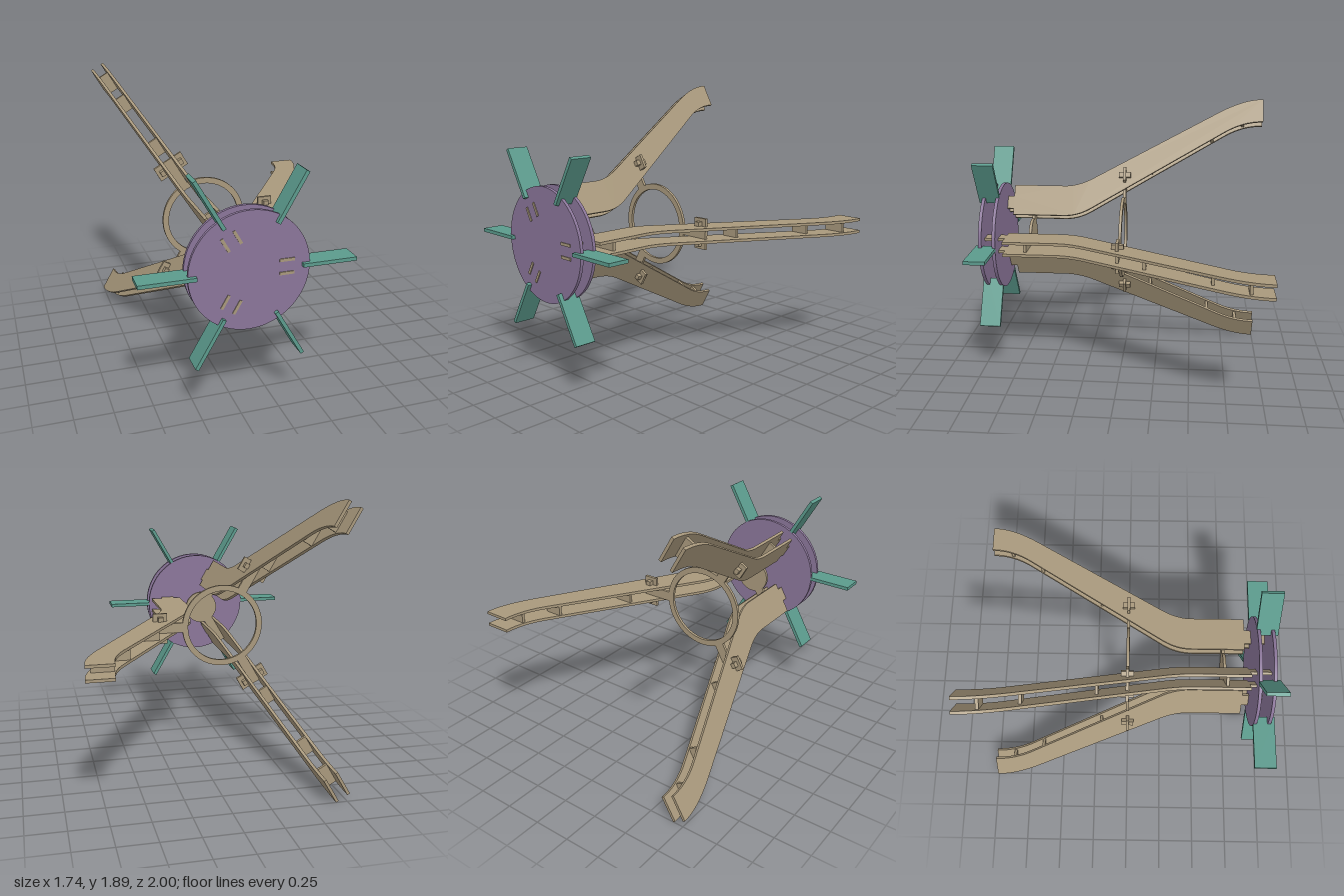
import * as THREE from 'three';

const wood = new THREE.MeshStandardMaterial({ color: 0xa8987c });
const purple = new THREE.MeshStandardMaterial({ color: 0x8a7599 });
const teal = new THREE.MeshStandardMaterial({ color: 0x5b9a8c });

function addMesh(parent, name, geometry, material, x = 0, y = 0, z = 0) {
  const mesh = new THREE.Mesh(geometry, material);
  mesh.name = name;
  mesh.position.set(x, y, z);
  parent.add(mesh);
  return mesh;
}

const box = (w, h, d) => new THREE.BoxGeometry(w, h, d);

// Sheet cut from a shape, centred on its own thickness
function sheet(shape, thickness) {
  const g = new THREE.ExtrudeGeometry(shape, { depth: thickness, bevelEnabled: false, curveSegments: 16 });
  return g.translate(0, 0, -thickness / 2);
}

// Same, but lying in the plane of radius (x) and length (z)
const radialSheet = (shape, thickness) => sheet(shape, thickness).rotateX(Math.PI / 2);

// Outline of a leg side plate: tang, straight root, slanted run, straight foot
function legShape() {
  const s = new THREE.Shape();
  s.moveTo(0.14, 0.81);
  s.lineTo(0.14, 0.44);
  s.quadraticCurveTo(0.14, 0.335, 0.2, 0.24);
  s.lineTo(0.80, -0.718);
  s.quadraticCurveTo(0.886, -0.855, 0.886, -1);
  s.lineTo(1.06, -1);
  s.quadraticCurveTo(1.06, -0.86, 0.95, -0.67);
  s.lineTo(0.43, 0.228);
  s.quadraticCurveTo(0.365, 0.34, 0.365, 0.44);
  s.lineTo(0.365, 0.81);
  s.lineTo(0.28, 0.81);
  s.lineTo(0.28, 0.978);
  s.lineTo(0.185, 0.978);
  s.lineTo(0.185, 0.81);
  s.closePath();
  return s;
}

// Outline of a fin, notched on its inner edge to grip both discs
function finShape() {
  return new THREE.Shape([
    [0.33, 1], [0.33, 0.973], [0.38, 0.973], [0.38, 0.95], [0.33, 0.95],
    [0.33, 0.877], [0.38, 0.877], [0.38, 0.853], [0.68, 0.853], [0.68, 1],
  ].map(([r, z]) => new THREE.Vector2(r, z)));
}

function makeLeg() {
  const leg = new THREE.Group();
  leg.name = 'leg';
  const plate = radialSheet(legShape(), 0.019);
  for (const side of [-1, 1]) {
    addMesh(leg, 'legSidePlate', plate, wood, 0, side * 0.043, 0);
    // Peg locking the ring crossbar outside the plate
    addMesh(leg, 'lockingPeg', box(0.036, 0.03, 0.085), wood, 0.45, side * 0.07, 0);
  }
  // Spacers between the two plates
  for (const [r, z, w] of [[0.55, -0.19, 0.12], [0.81, -0.63, 0.12], [0.945, -0.855, 0.14]]) {
    addMesh(leg, 'spacer', box(w, 0.07, 0.02), wood, r, 0, z);
  }
  // Ring neck and the crossbar that pierces the plates
  addMesh(leg, 'ringNeck', box(0.15, 0.068, 0.02), wood, 0.345, 0, 0);
  addMesh(leg, 'ringCrossbar', box(0.1, 0.214, 0.02), wood, 0.45, 0, 0);
  // Arm of the hub plate
  addMesh(leg, 'hubArm', box(0.24, 0.068, 0.02), wood, 0.2, 0, 0.66);
  return leg;
}

export function createModel() {
  const model = new THREE.Group();
  model.name = 'threeLeggedFinnedStand';

  const body = new THREE.Group();
  body.name = 'body';
  body.position.set(-0.19, 0.947, 0);
  model.add(body);

  // Three legs around the axis
  for (let i = 0; i < 3; i++) {
    const leg = makeLeg();
    leg.rotation.z = (i * Math.PI * 2) / 3;
    body.add(leg);
  }

  // Bracing ring and hub plate
  const ring = new THREE.Shape().absarc(0, 0, 0.29, 0, Math.PI * 2);
  ring.holes.push(new THREE.Path().absarc(0, 0, 0.25, 0, Math.PI * 2, true));
  const ringGeometry = new THREE.ExtrudeGeometry(ring, { depth: 0.02, bevelEnabled: false, curveSegments: 48 });
  addMesh(body, 'bracingRing', ringGeometry, wood, 0, 0, -0.01);
  const disc = (r, t) => new THREE.CylinderGeometry(r, r, t, 64).rotateX(Math.PI / 2);
  addMesh(body, 'hubPlate', disc(0.12, 0.02), wood, 0, 0, 0.66);

  // Front and back discs
  for (const z of [0.9615, 0.866]) addMesh(body, 'disc', disc(0.38, 0.022), purple, 0, 0, z);

  // Six fins around the discs
  const fin = radialSheet(finShape(), 0.024);
  for (let i = 0; i < 6; i++) {
    addMesh(body, 'fin', fin, teal).rotation.z = (i * Math.PI) / 3;
  }
  return model;
}
